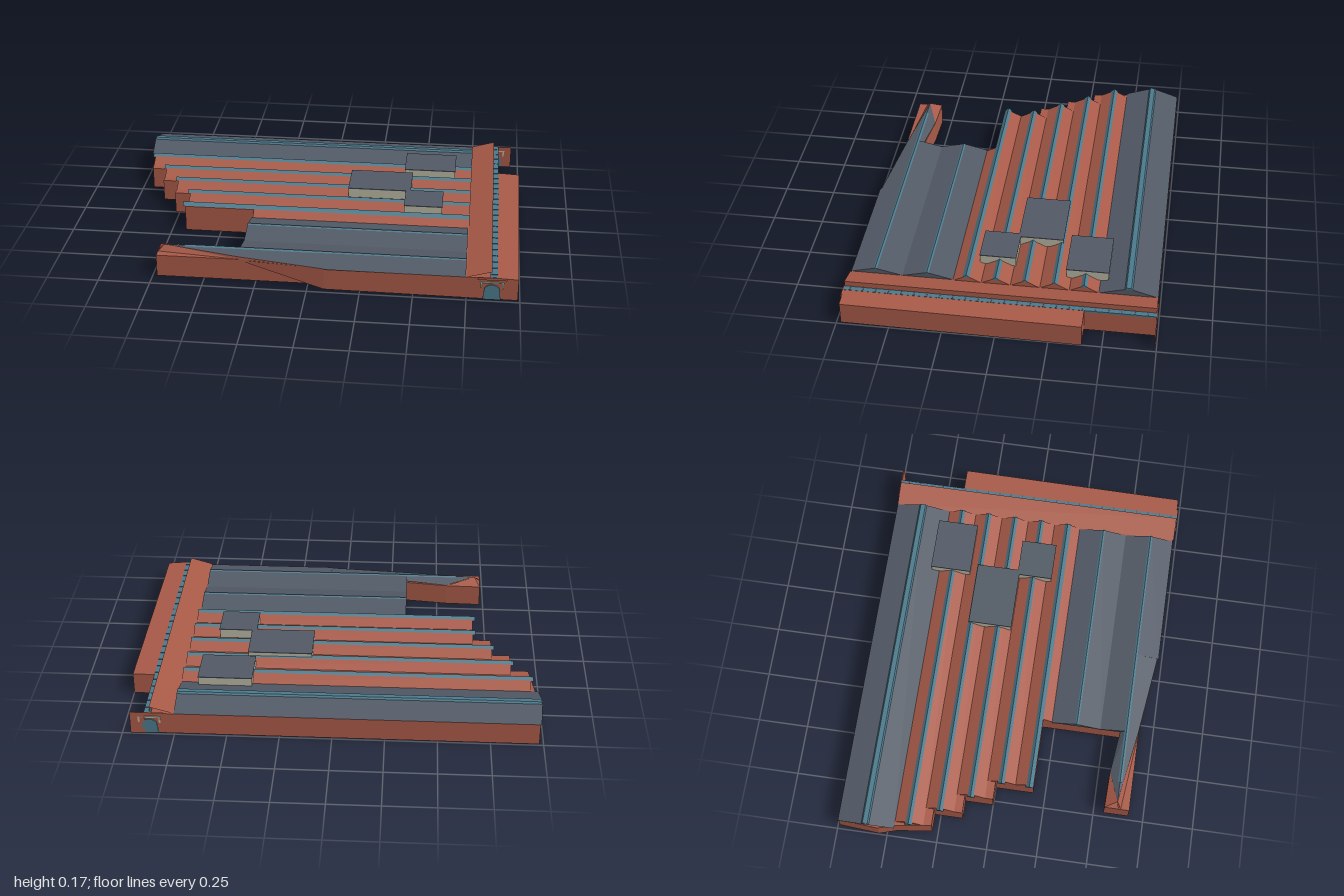
import * as THREE from 'three';

const mat = (c) => new THREE.MeshStandardMaterial({ color: c, side: THREE.DoubleSide, flatShading: true });
const BRICK = mat(0xa85a48), SLATE = mat(0x525a66), GLASS = mat(0x4c7a8c), CREAM = mat(0xb8b6a2);
const EAVE = 0.11;

export function createModel() {
  const group = new THREE.Group();
  const add = (name, geo, material) => {
    const m = new THREE.Mesh(geo, material);
    m.name = name;
    group.add(m);
    return m;
  };
  const shapeOf = (pts) => new THREE.Shape(pts.map(([a, b]) => new THREE.Vector2(a, b)));
  const extrude = (shape, depth) => new THREE.ExtrudeGeometry(shape, { depth, bevelEnabled: false, curveSegments: 8 });
  // Plan outline [x, z] raised from y0 by h
  const slab = (name, pts, y0, h, material) => {
    const g = extrude(shapeOf(pts.map(([x, z]) => [x, -z])), h);
    return add(name, g.rotateX(-Math.PI / 2).translate(0, y0, 0), material);
  };
  // Cross-section [z, y] swept along x
  const sweep = (name, pts, x0, x1, material) => {
    const g = extrude(shapeOf(pts.map(([z, y]) => [-z, y])), x1 - x0);
    return add(name, g.rotateY(Math.PI / 2).translate(x0, 0, 0), material);
  };
  const box = (name, x0, x1, y0, y1, z0, z1, material) =>
    add(name, new THREE.BoxGeometry(x1 - x0, y1 - y0, z1 - z0)
      .translate((x0 + x1) / 2, (y0 + y1) / 2, (z0 + z1) / 2), material);
  // Fan of triangles through corner points
  const facet = (name, pts, material) => {
    const g = new THREE.BufferGeometry().setFromPoints(pts.map((p) => new THREE.Vector3(...p)));
    const idx = [];
    for (let i = 1; i < pts.length - 1; i++) idx.push(0, i, i + 1);
    g.setIndex(idx);
    g.computeVertexNormals();
    return add(name, g, material);
  };

  // Brick walls with the stepped west side and the front wing
  slab('brickWalls', [
    [-0.98, -0.74], [0.89, -0.74], [0.89, -0.405], [1, -0.405], [0.99, 0.73], [0.08, 0.72], [0.08, 0.673],
    [-0.73, 0.673], [-0.73, 0.55], [-0.55, 0.555], [-0.33, 0.58], [-0.33, 0.19], [-0.68, 0.19], [-0.68, 0],
    [-0.77, 0], [-0.77, -0.14], [-0.86, -0.14], [-0.86, -0.28], [-0.945, -0.28], [-0.97, -0.46], [-0.995, -0.54],
  ], 0, EAVE, BRICK);

  // Wide rear gable, slightly bowed at the west end
  const rear = sweep('rearRoof', [[-0.74, EAVE], [-0.6, 0.15], [-0.46, EAVE]], -0.985, 0.75, SLATE);
  const rp = rear.geometry.attributes.position;
  for (let i = 0; i < rp.count; i++) if (rp.getX(i) < 0 && rp.getY(i) > 0.12) rp.setX(i, -0.995);
  rear.geometry.computeVertexNormals();
  sweep('rearRidgeLight', [[-0.62, 0.143], [-0.612, 0.154], [-0.588, 0.154], [-0.58, 0.143]], -0.99, 0.75, GLASS);

  // Row of small brick gables with glazed ridges
  [-0.95, -0.86, -0.77, -0.68, -0.68].forEach((x0, i) => {
    const z0 = -0.46 + i * 0.14, zr = z0 + 0.07, z1 = z0 + 0.14;
    const last = i === 4;
    const end = last ? [[0.19, 0.132], [0.19, EAVE]] : [[z1, EAVE]];
    sweep('bayRoof', [[z0, EAVE], [zr, 0.145], ...end], x0, 0.75, BRICK);
    if (last) sweep('bayRoofEdge', [[0.19, EAVE], [0.19, 0.132], [0.235, EAVE]], -0.33, 0.75, BRICK);
    sweep('bayRidgeLight', [[zr - 0.019, 0.134], [zr, 0.15], [zr + 0.019, 0.134]], x0 - 0.012, 0.75, GLASS);
  });

  // Two front gables
  sweep('frontRoof', [[0.235, EAVE], [0.36, 0.14], [0.48, EAVE]], -0.335, 0.745, SLATE);
  sweep('frontRoof', [[0.48, EAVE], [0.61, 0.14], [0.61, EAVE]], -0.335, 0.745, SLATE);
  sweep('frontRoof', [[0.61, EAVE], [0.61, 0.14], [0.728, EAVE]], 0.08, 0.745, SLATE);
  for (const z of [0.36, 0.61])
    sweep('frontRidgeLight', [[z - 0.01, 0.137], [z, 0.143], [z + 0.01, 0.137]], z < 0.5 ? -0.335 : -0.6, 0.745, GLASS);

  // Tapering roof over the wing, and the slanted skirt wall below it
  const tip = [-0.7, 0.138, 0.61];
  facet('wingRoofFront', [tip, [-0.33, 0.122, 0.67], [0.08, EAVE, 0.722], [0.08, 0.14, 0.61]], SLATE);
  facet('wingRoofBack', [[-0.335, 0.14, 0.61], tip, [-0.55, 0.113, 0.555], [-0.335, 0.118, 0.58]], SLATE);
  facet('wingGable', [tip, [-0.55, EAVE, 0.555], [-0.73, EAVE, 0.55], [-0.73, EAVE, 0.62]], BRICK);
  facet('wingParapet', [tip, [-0.73, EAVE, 0.63], [-0.33, EAVE, 0.672], [-0.33, 0.122, 0.67]], BRICK);
  facet('wingParapet', [[-0.33, 0.122, 0.67], [-0.33, EAVE, 0.672], [0.08, EAVE, 0.722]], BRICK);
  facet('skirtWall', [[-0.34, EAVE, 0.674], [0.08, 0, 0.721], [0.08, EAVE, 0.721]], BRICK);

  // Long cross hall: sloping plate, upright face, glazed strip and low side roof
  facet('hallSlope', [[0.75, 0.112, -0.74], [0.75, 0.112, 0.732], [0.865, 0.145, 0.732], [0.865, 0.145, -0.74]], BRICK);
  facet('hallFace', [[0.865, EAVE, -0.74], [0.865, 0.145, -0.74], [0.865, 0.145, 0.732], [0.865, EAVE, 0.732]], BRICK);
  box('hallGlazing', 0.858, 0.892, 0.108, 0.117, -0.74, 0.732, GLASS);
  facet('hallSideRoof', [[0.892, 0.116, -0.405], [0.892, 0.116, 0.732], [0.99, 0.111, 0.731], [1, 0.111, -0.405]], BRICK);
  for (let i = 0; i < 24; i++) {
    const z = -0.7 + i * 0.061;
    box('glazingBar', 0.86, 0.892, 0.116, 0.1195, z - 0.003, z + 0.003, SLATE);
  }

  // Rooftop plant rooms
  [[0.4, 0.665, -0.5, -0.295], [0.125, 0.445, -0.26, -0.04], [0.42, 0.612, -0.05, 0.128]].forEach(([x0, x1, z0, z1]) => {
    box('plantRoom', x0 + 0.002, x1 - 0.002, 0.115, 0.161, z0 + 0.002, z1 - 0.002, CREAM);
    box('plantRoomRoof', x0, x1, 0.161, 0.165, z0, z1, SLATE);
  });

  // Arched entrances at both ends of the hall
  const arch = new THREE.Shape();
  arch.moveTo(-0.042, 0);
  arch.lineTo(0.042, 0);
  arch.lineTo(0.036, 0.05);
  arch.absellipse(0, 0.05, 0.036, 0.027, 0, Math.PI, false);
  arch.lineTo(-0.042, 0);
  for (const [z, s] of [[0.732, 1], [-0.74, -1]]) {
    const zIn = Math.min(z, z + s * 0.005), zOut = Math.max(z, z + s * 0.005);
    add('entranceDoor', extrude(arch, 0.005).translate(0.868, 0.002, zIn), GLASS);
    for (const x of [0.818, 0.918]) box('entrancePillar', x - 0.004, x + 0.004, 0.06, 0.09, zIn, zOut, CREAM);
    box('entranceLintel', 0.812, 0.924, 0.087, 0.094, zIn, zOut, CREAM);
    box('entranceCornice', 0.8, 0.936, 0.104, 0.116, zIn, zOut, BRICK);
  }
  box('rearScreenWall', 0.89, 0.96, 0, 0.116, -0.745, -0.74, BRICK);

  return group;
}
